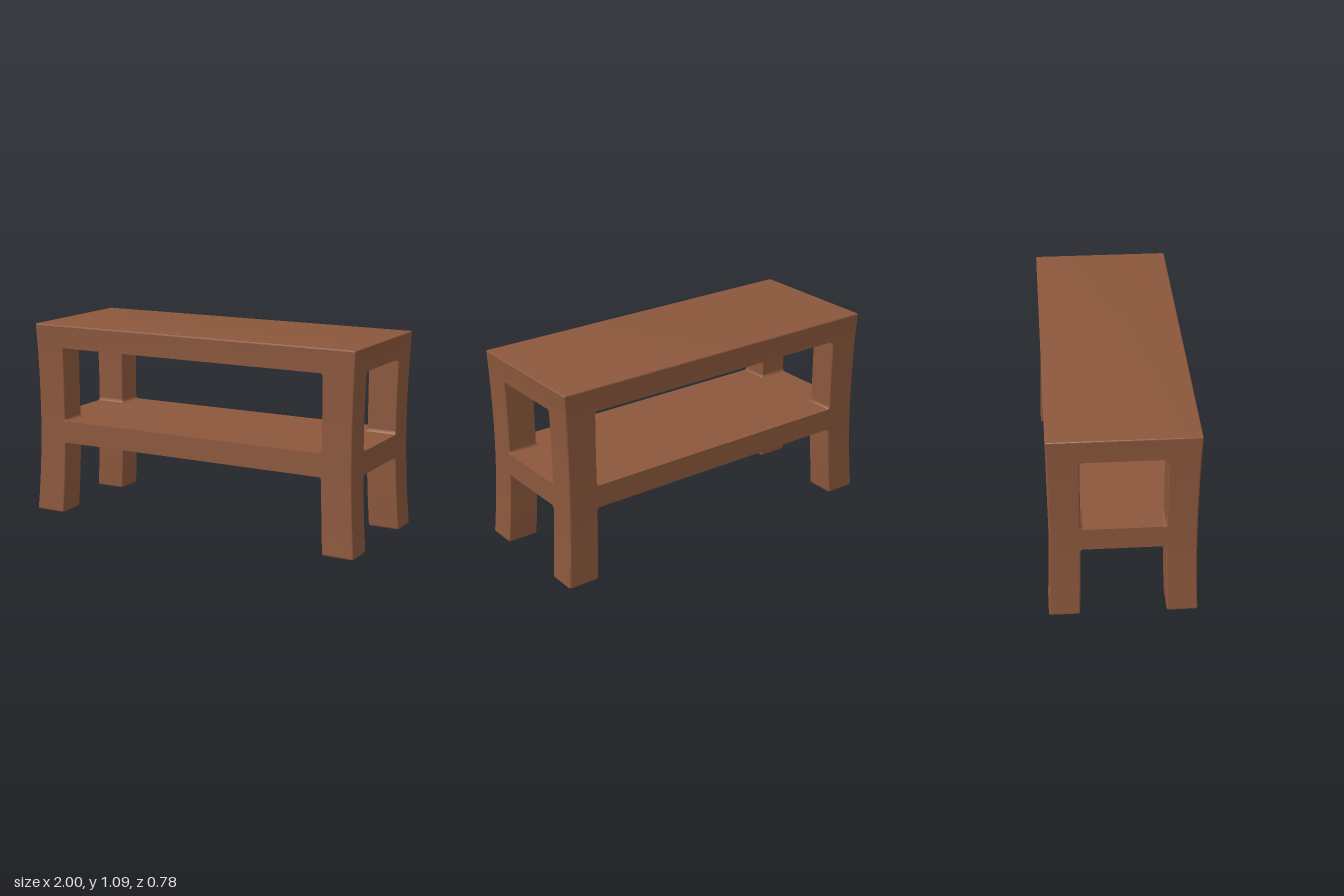
import * as THREE from 'three';
import { toCreasedNormals } from 'three/addons/utils/BufferGeometryUtils.js';

const EDGE = 0.008;   // softened outer edges
const FILLET = 0.018; // rounding inside the openings
const SHELF = [0.415, 0.54], TOP = [0.96, 1.09];

const lerp = THREE.MathUtils.lerp;

// Gently waisted outline: wide at the feet, slimmest near the shelf
function waist(y, foot, mid, top) {
  const m = 0.6;
  return y < m ? mid + (foot - mid) * ((m - y) / m) ** 2
               : mid + (top - mid) * ((y - m) / (TOP[1] - m)) ** 2;
}
const outerX = y => waist(y, 1.0, 0.973, 0.987);
const outerZ = y => waist(y, 0.392, 0.378, 0.386);

// Inner faces of the legs, splayed below the shelf
const splay = y => Math.max(0, 1 - y / SHELF[0]) ** 1.4;
const innerX = y => 0.803 + 0.018 * splay(y);
const innerZ = y => 0.219 + 0.009 * splay(y);

// Rounded rectangle seen from above
function ring(x0, x1, z0, z1, y) {
  const pts = [];
  const corners = [[x1 - EDGE, z1 - EDGE], [x0 + EDGE, z1 - EDGE], [x0 + EDGE, z0 + EDGE], [x1 - EDGE, z0 + EDGE]];
  corners.forEach(([cx, cz], k) => {
    for (let i = 0; i <= 3; i++) {
      const a = (k + i / 3) * Math.PI / 2;
      pts.push([cx + EDGE * Math.cos(a), y, cz + EDGE * Math.sin(a)]);
    }
  });
  return pts;
}

// Skin a stack of rings, closing the chosen ends
function loft(rings, capBottom, capTop) {
  const n = rings[0].length, pos = rings.flat(2), index = [];
  for (let r = 0; r < rings.length - 1; r++) {
    for (let i = 0; i < n; i++) {
      const a = r * n + i, b = r * n + (i + 1) % n;
      index.push(a, a + n, b, b, a + n, b + n);
    }
  }
  const last = (rings.length - 1) * n;
  for (let i = 1; i < n - 1; i++) {
    if (capBottom) index.push(0, i, i + 1);
    if (capTop) index.push(last, last + i + 1, last + i);
  }
  const g = new THREE.BufferGeometry();
  g.setAttribute('position', new THREE.Float32BufferAttribute(pos, 3));
  g.setIndex(index);
  return toCreasedNormals(g, 0.25);
}

// Inset that rounds an edge at distance d from it
const round = (d, r) => d >= r ? 0 : r - Math.sqrt(r * r - (r - d) ** 2);

// Heights along a part, denser near both ends
function levels(y0, y1, r) {
  const steps = [0, 0.13, 0.5, 1].map(t => t * r), out = steps.map(s => y0 + s);
  for (let i = 1; i < 10; i++) out.push(lerp(y0 + r, y1 - r, i / 10));
  return out.concat(steps.reverse().map(s => y1 - s));
}

function slab([y0, y1], roundTop) {
  const rings = levels(y0, y1, EDGE).map(y => {
    const inset = roundTop ? round(y1 - y, EDGE) : 0;
    const x = outerX(y) - inset, z = outerZ(y) - inset;
    return ring(-x, x, -z, z, y);
  });
  return loft(rings, true, true);
}

function post(y0, y1, sx, sz, isFoot) {
  const rings = levels(y0, y1, FILLET).map(y => {
    const inset = isFoot ? round(y - y0, EDGE) : 0;
    const grow = round(y1 - y, FILLET) + (isFoot ? 0 : round(y - y0, FILLET));
    const xs = [sx * (innerX(y) - grow + inset), sx * (outerX(y) - inset)].sort((a, b) => a - b);
    const zs = [sz * (innerZ(y) - grow + inset), sz * (outerZ(y) - inset)].sort((a, b) => a - b);
    return ring(...xs, ...zs, y);
  });
  return loft(rings, isFoot, false);
}

export function createModel() {
  const wood = new THREE.MeshStandardMaterial({ color: 0x8b573c });
  wood.name = 'brown wood';
  const model = new THREE.Group();
  model.name = 'table';
  const add = (name, geometry, parent = model) => {
    const mesh = new THREE.Mesh(geometry, wood);
    mesh.name = name;
    parent.add(mesh);
  };

  // Table top and the shelf below it
  add('tableTop', slab(TOP, true));
  add('shelf', slab(SHELF, false));

  // Four legs, each split by the shelf
  for (const sz of [1, -1]) for (const sx of [1, -1]) {
    const leg = new THREE.Group();
    leg.name = (sz > 0 ? 'front' : 'back') + (sx > 0 ? 'Left' : 'Right') + 'Leg';
    add('lowerLeg', post(0, SHELF[0], sx, sz, true), leg);
    add('upperPost', post(SHELF[1], TOP[0], sx, sz, false), leg);
    model.add(leg);
  }
  return model;
}
